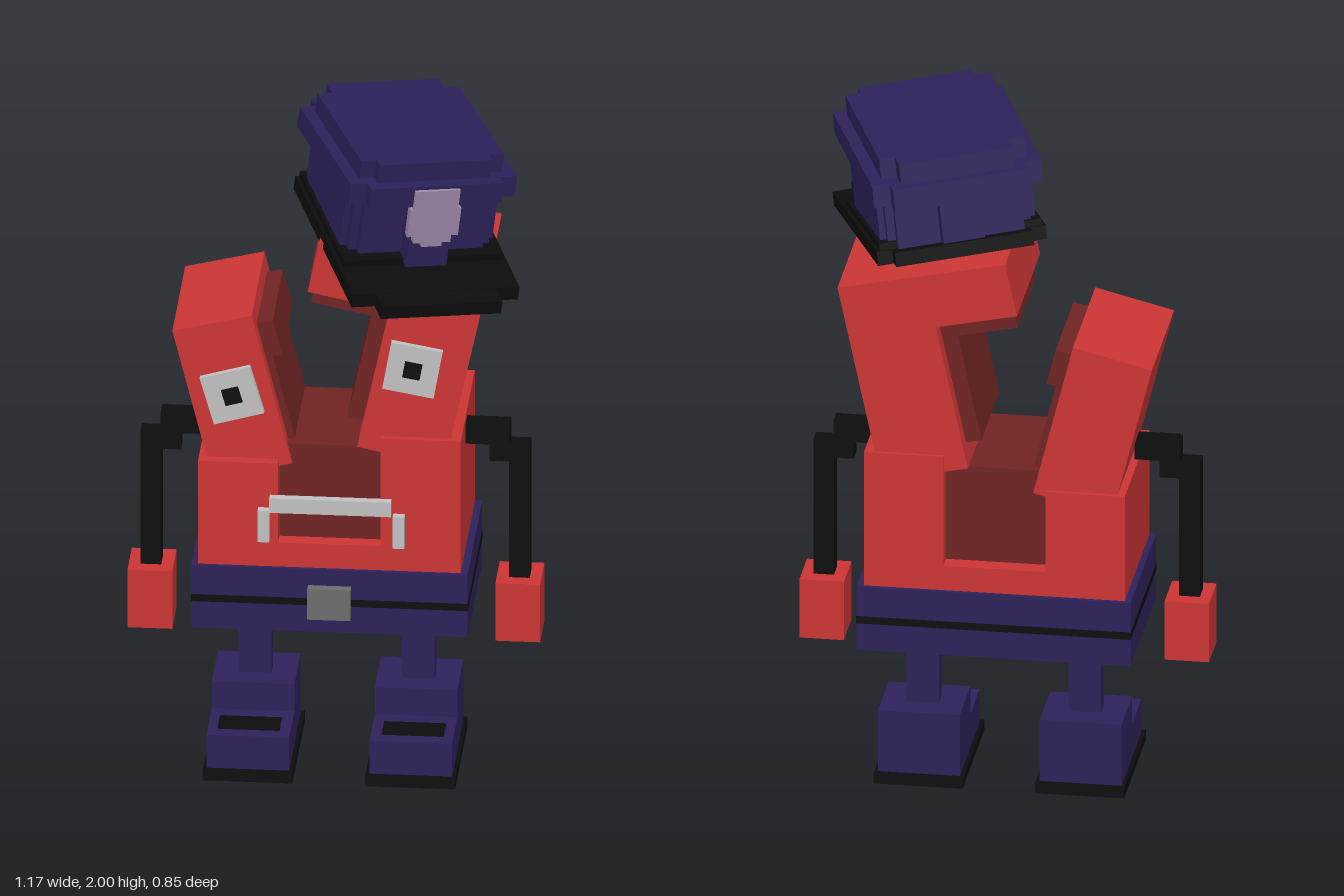
import * as THREE from 'three';

const mat = (name, color, side = THREE.FrontSide) => {
  const m = new THREE.MeshStandardMaterial({ color, side });
  m.name = name;
  return m;
};

export function createModel() {
  const red = mat('red', 0xcc3535);
  const darkRed = mat('dark red', 0x702323);
  const navy = mat('navy', 0x2d215a);
  const black = mat('black', 0x0c0c0c);
  const silver = mat('silver', 0xc0c0c0);
  const grey = mat('grey', 0x6c6c6c);
  const lavender = mat('lavender', 0x9c87a8);

  const model = new THREE.Group();
  model.name = 'figure';

  const group = (name, parent = model) => {
    const g = new THREE.Group();
    g.name = name;
    parent.add(g);
    return g;
  };
  const add = (name, geo, material, parent = model) => {
    const m = new THREE.Mesh(geo, material);
    m.name = name;
    parent.add(m);
    return m;
  };
  // Box given by its lower and upper bounds on each axis
  const boxGeo = (x0, x1, y0, y1, z0, z1) =>
    new THREE.BoxGeometry(x1 - x0, y1 - y0, z1 - z0)
      .translate((x0 + x1) / 2, (y0 + y1) / 2, (z0 + z1) / 2);
  const box = (name, b, material, parent) => add(name, boxGeo(...b), material, parent);
  // Flat outline pushed from z0 to z1
  const slab = (name, pts, z0, z1, material, parent) => {
    const shape = new THREE.Shape(pts.map(p => new THREE.Vector2(...p)));
    const geo = new THREE.ExtrudeGeometry(shape, { depth: z1 - z0, bevelEnabled: false });
    return add(name, geo.translate(0, 0, z0), material, parent);
  };

  // Torso: a block with an open slot between two shoulders
  slab('torso', [[-0.375, 0.64], [0.37, 0.64], [0.37, 1.067], [0.143, 1.067], [0.143, 0.73],
    [-0.148, 0.73], [-0.148, 0.977], [-0.375, 0.977]], -0.37, 0.1, red);
  box('torsoCore', [-0.148, 0.143, 0.73, 1.02, -0.32, 0.055], darkRed);

  // Belt
  box('beltLower', [-0.393, 0.39, 0.46, 0.542, -0.382, 0.11], navy);
  box('beltStripe', [-0.394, 0.391, 0.542, 0.564, -0.383, 0.111], black);
  box('beltUpper', [-0.393, 0.39, 0.564, 0.655, -0.382, 0.11], navy);
  box('buckle', [-0.062, 0.06, 0.51, 0.605, 0.1, 0.138], grey);

  // Mouth bar with two drooping ends
  box('mouthBar', [-0.17, 0.175, 0.84, 0.885, 0.113, 0.138], silver);
  box('mouthRight', [-0.203, -0.17, 0.747, 0.845, 0.113, 0.138], silver);
  box('mouthLeft', [0.18, 0.213, 0.742, 0.84, 0.113, 0.138], silver);

  // Short leaning half of the split head
  const shortHalf = group('shortHeadHalf');
  shortHalf.position.set(-0.111, 0.965, 0);
  shortHalf.rotation.z = THREE.MathUtils.degToRad(14);
  box('shortColumn', [-0.232, 0, 0, 0.471, -0.355, 0.07], red, shortHalf);
  slab('shortInside', [[0, 0.06], [0.02, 0.06], [0.02, 0.318], [0.047, 0.318], [0.047, 0.427],
    [0, 0.427]], -0.31, 0.03, darkRed, shortHalf);

  // Tall half with an overhang under the cap
  const tallHalf = group('tallHeadHalf');
  tallHalf.position.set(0.447, 1.565, 0);
  tallHalf.rotation.z = THREE.MathUtils.degToRad(-12);
  slab('tallColumn', [[0, 0], [-0.49, 0], [-0.49, -0.16], [-0.253, -0.16], [-0.253, -0.6],
    [0, -0.6]], -0.36, 0.083, red, tallHalf);
  slab('tallInside', [[-0.253, -0.16], [-0.473, -0.16], [-0.473, -0.215], [-0.298, -0.215],
    [-0.298, -0.54], [-0.253, -0.54]], -0.31, 0.03, darkRed, tallHalf);

  // Eyes
  const eye = (name, x, y, z, tilt) => {
    const g = group(name);
    g.position.set(x, y, z);
    g.rotation.z = THREE.MathUtils.degToRad(tilt);
    box('eyeWhite', [-0.074, 0.074, -0.074, 0.074, -0.01, 0.018], silver, g);
    box('pupil', [-0.025, 0.025, -0.025, 0.025, 0.018, 0.022], black, g);
  };
  eye('rightEye', -0.28, 1.178, 0.07, 16);
  eye('leftEye', 0.233, 1.284, 0.083, -10);

  // Arms and legs, mirrored
  for (const s of [-1, 1]) {
    const side = s > 0 ? 'left' : 'right';
    const mbox = (name, [a, b, ...rest], material, parent) =>
      box(name, [Math.min(s * a, s * b), Math.max(s * a, s * b), ...rest], material, parent);

    const arm = group(side + 'Arm');
    mbox('shoulder', [0.365, 0.495, 0.983, 1.045, -0.12, -0.063], black, arm);
    mbox('elbow', [0.437, 0.552, 0.932, 0.983, -0.12, -0.063], black, arm);
    mbox('forearm', [0.493, 0.552, 0.56, 0.932, -0.12, -0.063], black, arm);
    mbox('hand', [0.458, 0.585, 0.39, 0.57, -0.165, -0.02], red, arm);

    const leg = group(side + 'Leg');
    mbox('shin', [0.185, 0.278, 0.21, 0.47, -0.175, -0.115], navy, leg);
    mbox('sole', [0.103, 0.358, 0, 0.03, -0.27, 0.148], black, leg);
    mbox('shoeHeel', [0.114, 0.348, 0.03, 0.218, -0.25, -0.047], navy, leg);
    mbox('shoeToe', [0.114, 0.348, 0.03, 0.133, -0.047, 0.127], navy, leg);
    mbox('laceFront', [0.145, 0.32, 0.133, 0.14, 0.048, 0.085], black, leg);
    mbox('laceBack', [0.145, 0.32, 0.133, 0.14, 0.01, 0.037], black, leg);
  }

  // Cap, turned and tipped forward
  const cap = group('cap');
  cap.position.set(0.183, 1.637, -0.067);
  cap.rotation.set(0.134, 0.35, -0.079, 'YXZ');

  // Upper parts rise toward the front
  const rise = (name, b, material = navy) => {
    const geo = boxGeo(...b);
    const p = geo.attributes.position;
    for (let i = 0; i < p.count; i++) {
      if (p.getY(i) > 0.1) p.setY(i, p.getY(i) + 0.135 * p.getZ(i));
    }
    geo.computeVertexNormals();
    return add(name, geo, material, cap);
  };

  // Stepped brim with bill
  box('brim', [-0.245, 0.245, 0, 0.042, -0.25, 0.38], black, cap);
  box('brimBack', [-0.2, 0.2, 0, 0.042, -0.288, -0.25], black, cap);
  box('bill', [-0.177, 0.177, 0, 0.04, 0.38, 0.448], black, cap);
  box('brimRing', [-0.235, 0.235, 0.042, 0.062, -0.245, 0.235], black, cap);

  // Crown with stepped corners
  for (const [w, d] of [[0.225, 0.18], [0.207, 0.205], [0.183, 0.228]]) {
    rise('crown', [-w, w, 0.03, 0.23, -0.03 - d, -0.03 + d]);
  }
  rise('crownFrontTab', [-0.06, 0.06, 0.05, 0.24, 0.15, 0.262]);
  rise('crownBackTab', [-0.06, 0.06, 0.05, 0.24, -0.3, -0.2]);

  // Wide band and top plate
  rise('bandSides', [-0.245, 0.245, 0.222, 0.288, -0.29, 0.235]);
  rise('bandEnds', [-0.195, 0.195, 0.222, 0.288, -0.342, 0.275]);
  rise('topSides', [-0.21, 0.21, 0.288, 0.347, -0.255, 0.2]);
  rise('topEnds', [-0.165, 0.165, 0.288, 0.347, -0.315, 0.235]);

  // Shield badge
  const half = [[0.03, 0.13], [0.03, 0.143], [0.055, 0.143], [0.055, 0.165], [0.075, 0.165],
    [0.075, 0.255], [0.066, 0.255], [0.066, 0.315]];
  const mirrored = half.map(([x, y]) => [-x, y]).reverse();
  slab('badge', [...half, ...mirrored], 0.262, 0.285, lavender, cap);

  return model;
}
